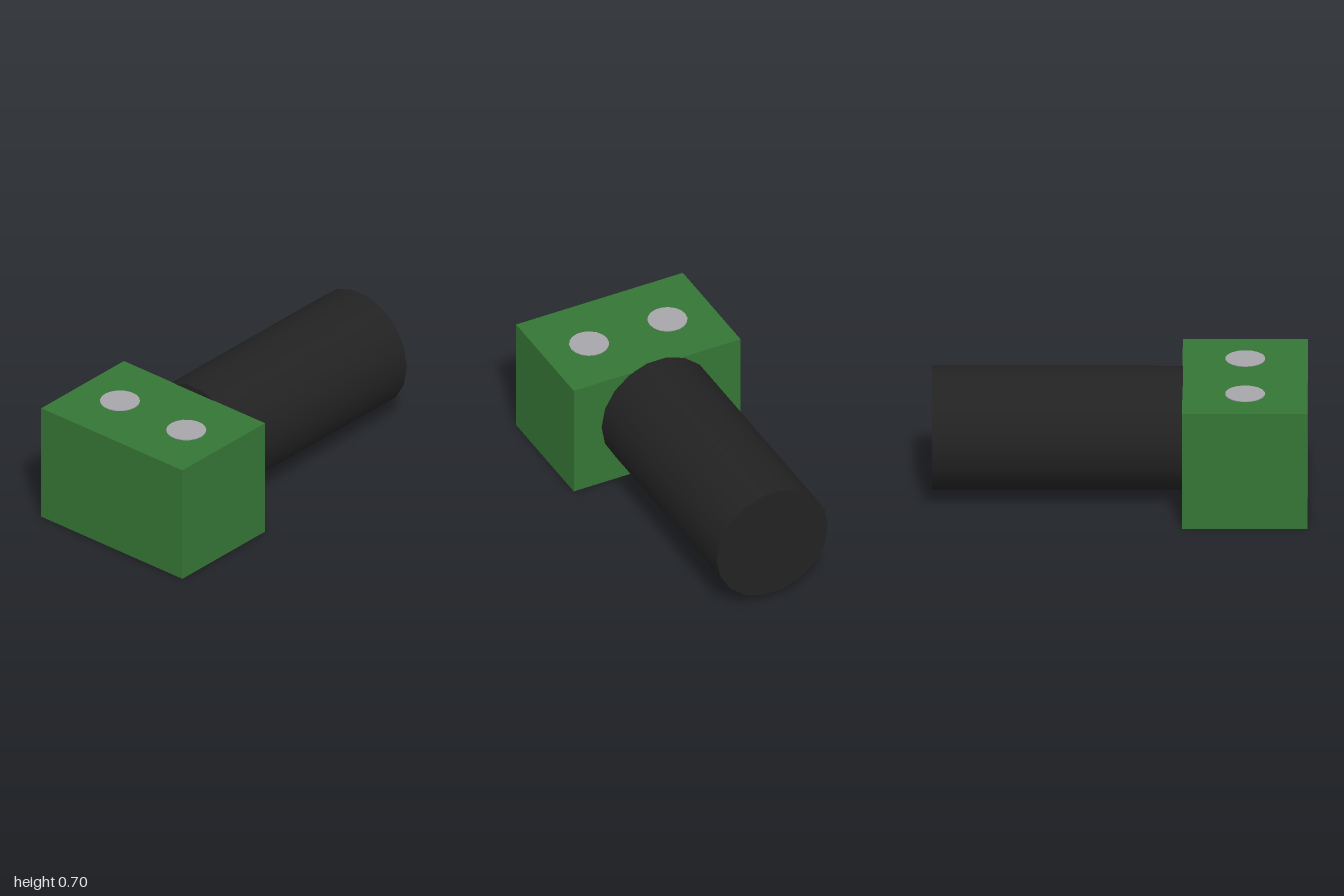
import * as THREE from 'three';

function material(name, color) {
  const m = new THREE.MeshStandardMaterial({ color });
  m.name = name;
  return m;
}

export function createModel() {
  const group = new THREE.Group();
  const green = material('green', 0x357535);
  const black = material('black', 0x222222);
  const grey = material('light grey', 0xa5a5aa);

  const add = (name, geometry, mat, x, y, z) => {
    const mesh = new THREE.Mesh(geometry, mat);
    mesh.name = name;
    mesh.position.set(x, y, z);
    group.add(mesh);
    return mesh;
  };

  // Block housing
  add('housing', new THREE.BoxGeometry(0.667, 0.667, 1), green, -0.6665, 0.3335, 0);

  // Barrel lying along x, with a nearly flush disc in its end
  const barrel = new THREE.CylinderGeometry(0.333, 0.333, 1.335, 18).rotateZ(-Math.PI / 2);
  add('barrel', barrel, black, 0.3315, 0.368, 0);
  const endDisc = new THREE.CylinderGeometry(0.23, 0.23, 0.004, 18).rotateZ(-Math.PI / 2);
  add('endDisc', endDisc, black, 0.998, 0.368, 0);

  // Pair of round contacts on top of the housing
  for (const side of [-1, 1]) {
    const contact = new THREE.CylinderGeometry(0.107, 0.107, 0.006, 18);
    add(side > 0 ? 'frontContact' : 'backContact', contact, grey, -0.667, 0.668, side * 0.235);
  }
  return group;
}
